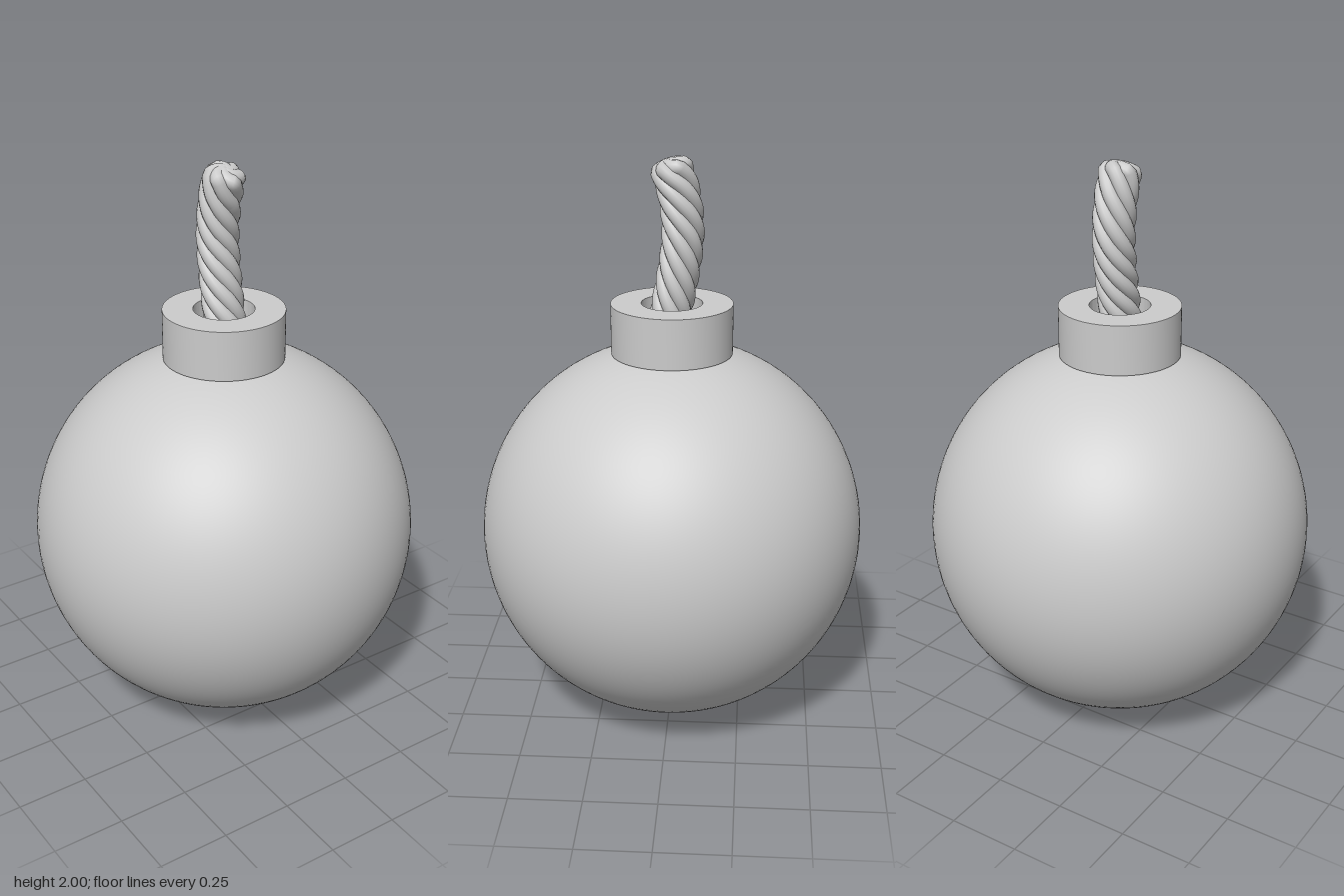
import * as THREE from 'three';
import { toCreasedNormals } from 'three/addons/utils/BufferGeometryUtils.js';

const STRANDS = 6;
const STRAND_RADIUS = 0.026;
const TWIST_RADIUS = 0.047;
const TURNS = 1.4;

// Centre line of the fuse, bowed towards the back
const fuseAxis = new THREE.CatmullRomCurve3([
  new THREE.Vector3(0, 1.34, 0.03),
  new THREE.Vector3(0, 1.5, -0.003),
  new THREE.Vector3(0, 1.74, -0.037),
  new THREE.Vector3(0, 1.88, -0.022),
  new THREE.Vector3(0, 1.958, 0.002),
]);

// One strand winds round the centre line, then curls in over the tip
class StrandCurve extends THREE.Curve {
  constructor(phase) {
    super();
    this.phase = phase;
  }
  getPoint(t, target = new THREE.Vector3()) {
    const along = Math.min(t / 0.92, 1);
    const curl = Math.max((t - 0.92) / 0.08, 0);
    const angle = this.phase + along * TURNS * Math.PI * 2 + curl * 1.1;
    const radius = TWIST_RADIUS * (1 - 0.8 * curl);
    const tangent = fuseAxis.getTangentAt(along);
    const side = new THREE.Vector3(1, 0, 0);
    const front = side.clone().cross(tangent);
    return target.copy(fuseAxis.getPointAt(along))
      .addScaledVector(side, Math.cos(angle) * radius)
      .addScaledVector(front, Math.sin(angle) * radius)
      .addScaledVector(tangent, 0.008 * Math.sin(curl * Math.PI / 2));
  }
}

export function createModel() {
  const model = new THREE.Group();
  model.name = 'roundBomb';
  const material = new THREE.MeshStandardMaterial({ color: 0xcccccc });
  const add = (parent, name, geometry) => {
    const mesh = new THREE.Mesh(geometry, material);
    mesh.name = name;
    parent.add(mesh);
    return mesh;
  };

  // Round body
  add(model, 'body', new THREE.SphereGeometry(0.675, 96, 64)).position.y = 0.677;

  // Hollow collar sunk into the top of the body
  const profile = [
    [0.105, 1.325], [0.21, 1.325], [0.21, 1.5], [0.105, 1.5], [0.105, 1.325],
  ].map(([r, y]) => new THREE.Vector2(r, y));
  add(model, 'collar', toCreasedNormals(new THREE.LatheGeometry(profile, 96), 0.6));

  // Twisted rope fuse
  const fuse = new THREE.Group();
  fuse.name = 'fuse';
  model.add(fuse);
  for (let i = 0; i < STRANDS; i++) {
    const path = new StrandCurve((i / STRANDS) * Math.PI * 2);
    add(fuse, 'fuseStrand', new THREE.TubeGeometry(path, 120, STRAND_RADIUS, 14));
    add(fuse, 'strandTip', new THREE.SphereGeometry(STRAND_RADIUS, 14, 10))
      .position.copy(path.getPoint(1));
  }
  return model;
}
